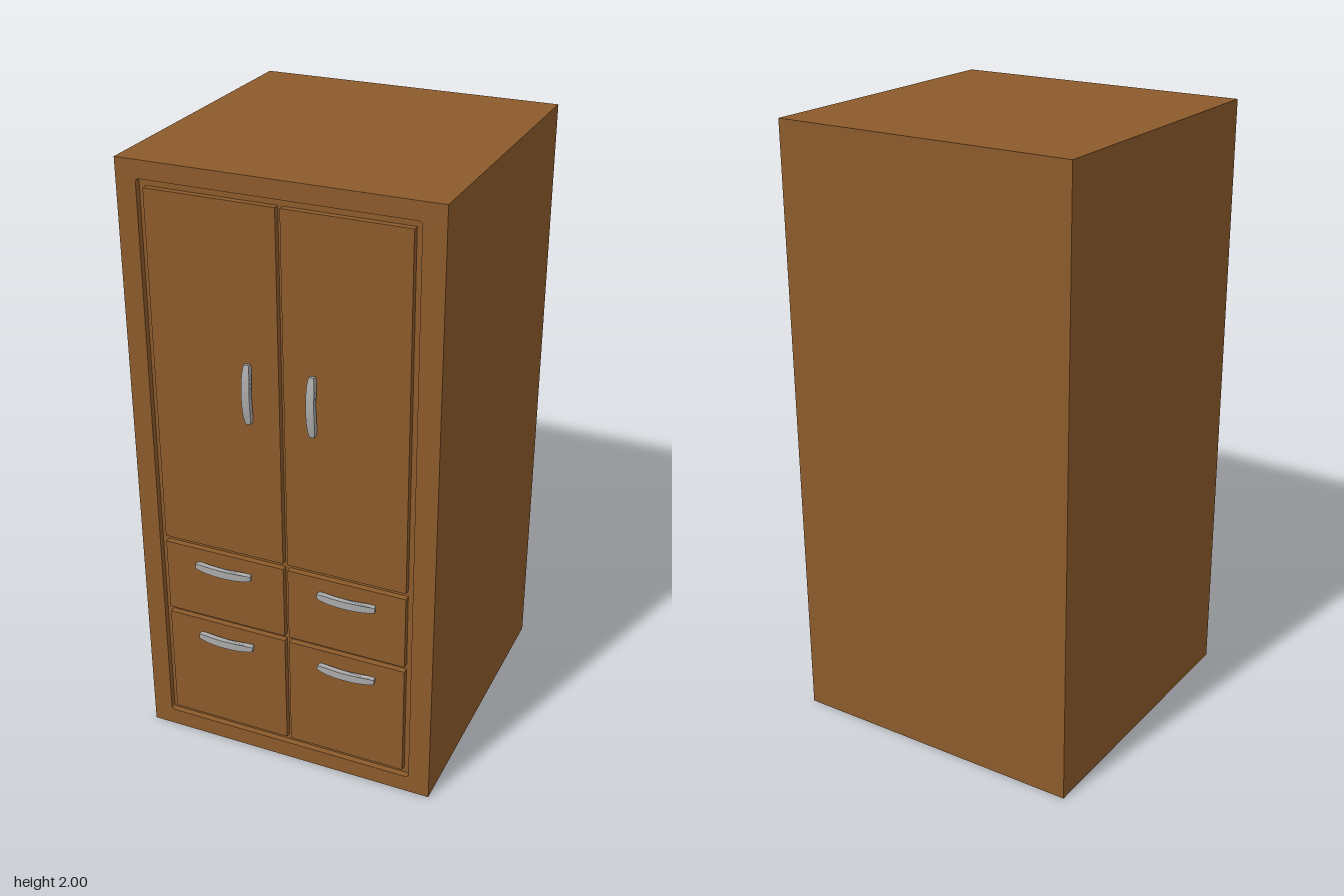
import * as THREE from 'three';

const FRONT = 0.485, BACK = -0.513, GROOVE = 0.465;

// Rectangle outline with slightly rounded corners
function roundedRect(path, x0, x1, y0, y1, r) {
  path.absarc(x1 - r, y1 - r, r, 0, Math.PI / 2);
  path.absarc(x0 + r, y1 - r, r, Math.PI / 2, Math.PI);
  path.absarc(x0 + r, y0 + r, r, Math.PI, Math.PI * 1.5);
  path.absarc(x1 - r, y0 + r, r, Math.PI * 1.5, Math.PI * 2);
  path.closePath();
  return path;
}

// Bowed pull along x, bulging to +z, narrower in y at both ends
function handleGeometry() {
  const n = 12, half = 0.097, outer = [], inner = [];
  for (let i = 0; i <= n; i++) {
    const t = (i / n) * 2 - 1, bow = 0.012 * (1 - t * t);
    outer.push(new THREE.Vector2(t * half, 0.015 + bow));
    inner.unshift(new THREE.Vector2(t * half * 0.97, -0.002 + bow));
  }
  const shape = new THREE.Shape([...inner.reverse(), ...outer.reverse()]);
  const geo = new THREE.ExtrudeGeometry(shape, { depth: 2, bevelEnabled: false });
  geo.translate(0, 0, -1);
  const p = geo.attributes.position;
  for (let i = 0; i < p.count; i++) {
    const t = p.getX(i) / half;
    p.setZ(i, p.getZ(i) * (0.013 - 0.005 * t ** 4));
  }
  geo.rotateX(Math.PI / 2);
  geo.computeVertexNormals();
  return geo;
}

export function createModel() {
  const model = new THREE.Group();
  const wood = new THREE.MeshStandardMaterial({ color: 0x8b5a2b });
  wood.name = 'brown wood';
  const metal = new THREE.MeshStandardMaterial({ color: 0xa9a9a9 });
  metal.name = 'grey metal';

  const add = (name, geo, mat, x = 0, y = 0, z = 0) => {
    const mesh = new THREE.Mesh(geo, mat);
    mesh.name = name;
    mesh.position.set(x, y, z);
    model.add(mesh);
    return mesh;
  };

  // Cabinet body
  const depth = GROOVE - BACK;
  add('cabinetBody', new THREE.BoxGeometry(1, 2, depth), wood, 0, 1, BACK + depth / 2);

  // Front frame around the opening
  const frame = new THREE.Shape([[-0.5, 0], [0.5, 0], [0.5, 2], [-0.5, 2]].map(c => new THREE.Vector2(...c)));
  frame.holes.push(roundedRect(new THREE.Path(), -0.435, 0.43, 0.058, 1.944, 0.012));
  add('frontFrame', new THREE.ExtrudeGeometry(frame, {
    depth: FRONT - GROOVE, bevelEnabled: false, curveSegments: 4,
  }), wood, 0, 0, GROOVE);

  // Doors and drawers with their pulls
  const pull = handleGeometry();
  const columns = [
    { side: 'right', x0: -0.413, x1: 0, doorPull: -0.097, drawerPull: -0.206 },
    { side: 'left', x0: 0.015, x1: 0.408, doorPull: 0.11, drawerPull: 0.216 },
  ];
  const rows = [
    { part: 'Door', y0: 0.763, y1: 1.92, pullY: 1.335 },
    { part: 'UpperDrawer', y0: 0.49, y1: 0.742, pullY: 0.684 },
    { part: 'LowerDrawer', y0: 0.082, y1: 0.471, pullY: 0.412 },
  ];
  for (const c of columns) {
    for (const r of rows) {
      const isDoor = r.part === 'Door';
      add(c.side + r.part, new THREE.BoxGeometry(c.x1 - c.x0, r.y1 - r.y0, FRONT - GROOVE), wood,
        (c.x0 + c.x1) / 2, (r.y0 + r.y1) / 2, (FRONT + GROOVE) / 2);
      const handle = add(c.side + r.part + 'Handle', pull, metal,
        isDoor ? c.doorPull : c.drawerPull, r.pullY, FRONT);
      if (isDoor) handle.rotation.z = Math.PI / 2;
    }
  }
  return model;
}
